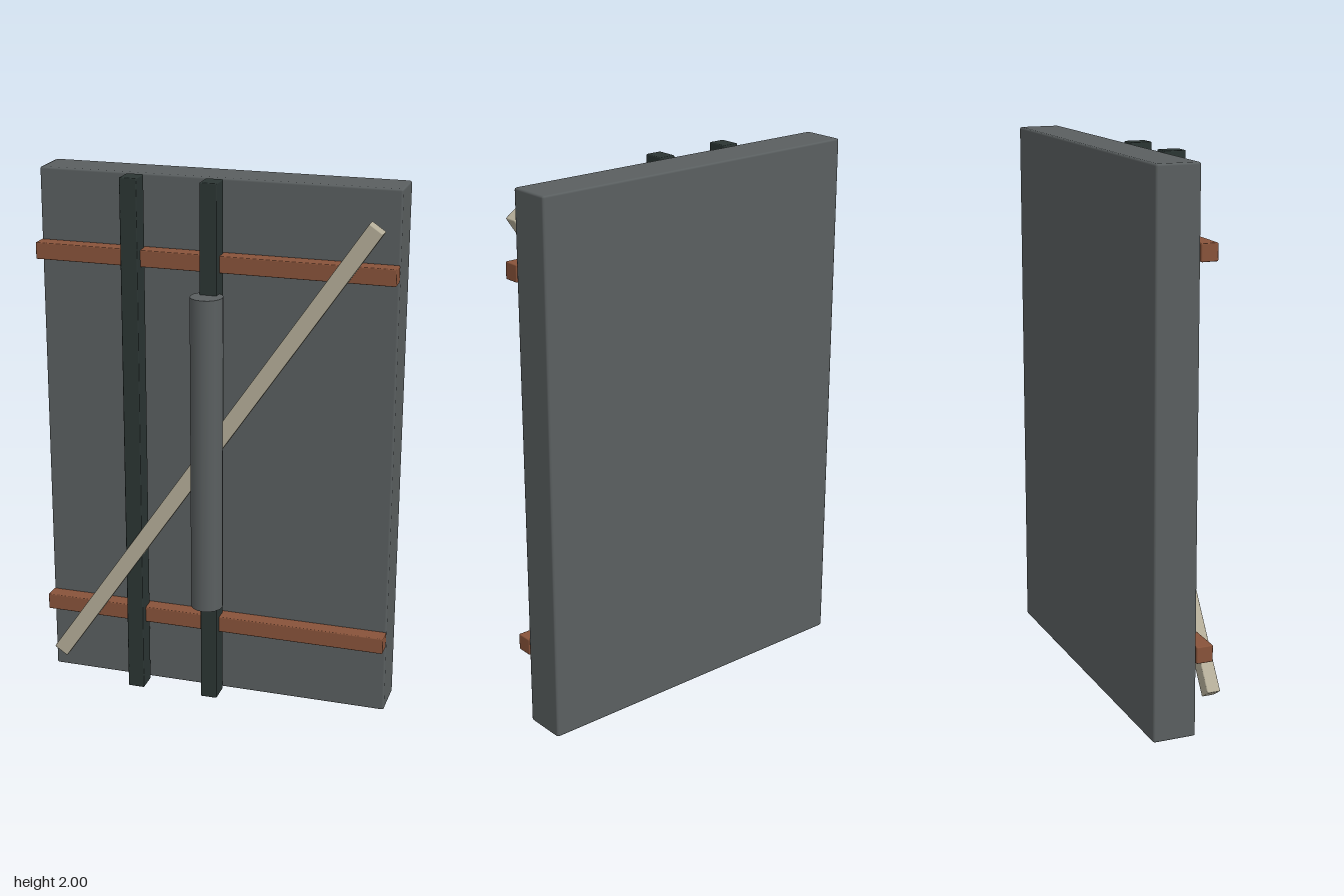
import * as THREE from 'three';
import { RoundedBoxGeometry } from 'three/addons/geometries/RoundedBoxGeometry.js';

function material(name, color) {
  const m = new THREE.MeshStandardMaterial({ color });
  m.name = name;
  return m;
}

export function createModel() {
  const group = new THREE.Group();
  const slate = material('slate grey', 0x5a5f60);
  const darkIron = material('dark iron', 0x2b3533);
  const rust = material('rust brown', 0x88533a);
  const cream = material('weathered cream', 0xb5ae99);

  // Softly bevelled beam placed by its centre
  function beam(name, size, position, mat, bevel = 0.004) {
    const mesh = new THREE.Mesh(new RoundedBoxGeometry(...size, 1, bevel), mat);
    mesh.name = name;
    mesh.position.set(...position);
    group.add(mesh);
    return mesh;
  }

  // Main door slab
  beam('slab', [1.33, 2, 0.16], [0, 1, -0.087], slate, 0.008);

  // Horizontal straps
  for (const [name, y] of [['lowerStrap', 0.3], ['upperStrap', 1.705]]) {
    beam(name, [1.33, 0.062, 0.062], [0, y, 0.026], rust);
  }

  // Vertical bars
  for (const [name, x] of [['sideBar', -0.295], ['centreBar', 0]]) {
    beam(name, [0.064, 2, 0.08], [x, 1, 0.05], darkIron);
  }

  // Diagonal brace
  const brace = beam('diagonalBrace', [2.135, 0.06, 0.05], [0, 1, 0.082], cream);
  brace.rotation.z = Math.atan2(1.766, 1.2);

  // Long pull handle
  const handle = new THREE.Mesh(new THREE.CylinderGeometry(0.06, 0.06, 1.2, 16), slate);
  handle.name = 'handle';
  handle.position.set(0, 1, 0.107);
  group.add(handle);

  return group;
}
